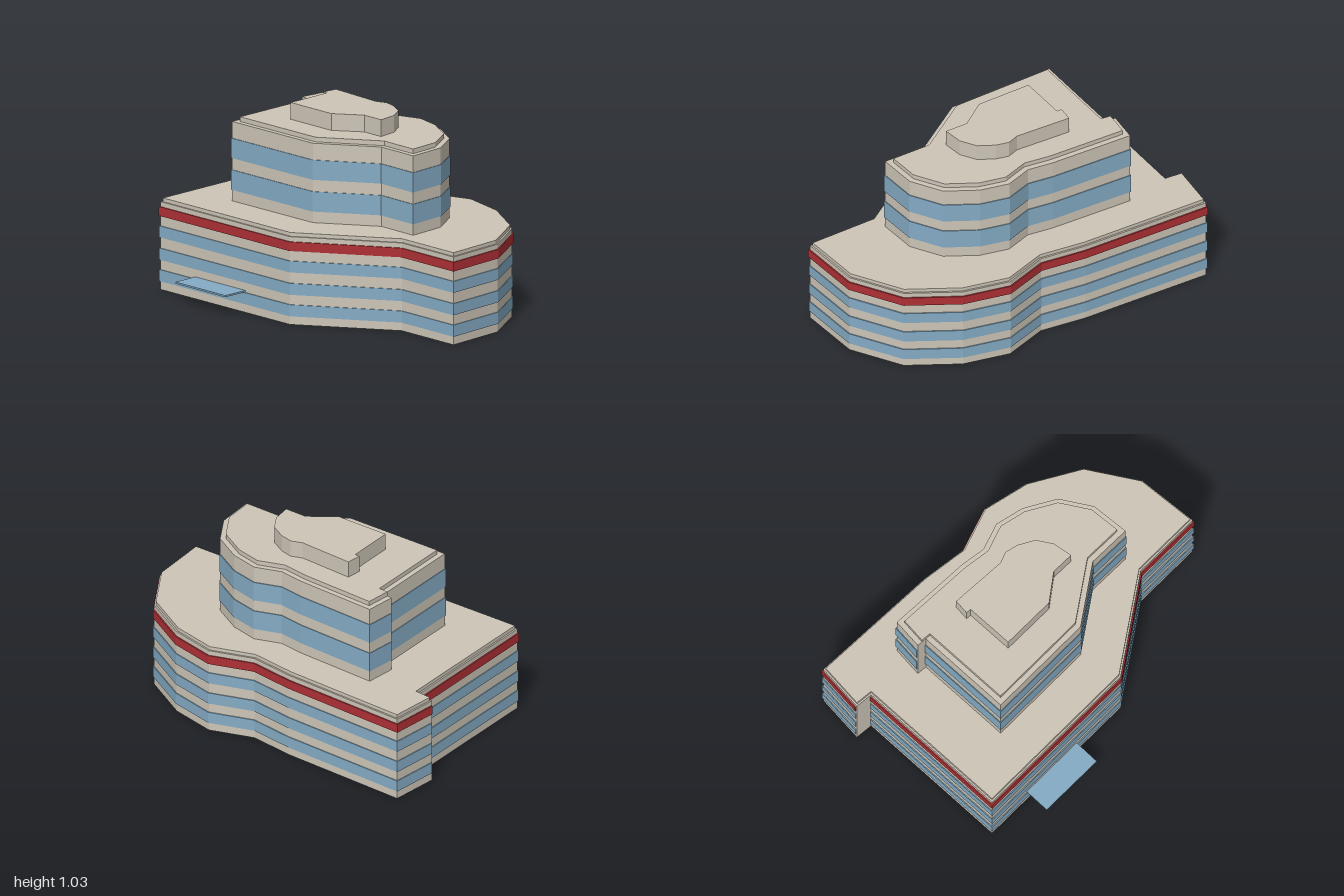
import * as THREE from 'three';

// Footprints as [x, z]; the second-last edge is the front of the rear corner notch
const podiumPlan = [
  [-1, -0.56], [-0.27, -0.6], [-0.02, -0.59], [0.21, -0.69], [0.47, -0.655], [0.75, -0.525],
  [0.94, -0.275], [0.998, 0.068], [0.61, 0.105], [0.153, 0.48], [-0.81, 0.575], [-0.902, -0.28], [-1, -0.28],
];
const towerPlan = [
  [-0.645, -0.385], [-0.18, -0.407], [-0.04, -0.4], [0.1, -0.462], [0.26, -0.44], [0.435, -0.36],
  [0.552, -0.205], [0.588, 0.008], [0.347, 0.027], [0.067, 0.258], [-0.532, 0.318], [-0.59, -0.21], [-0.645, -0.21],
];
const penthousePlan = [
  [-0.36, -0.238], [-0.05, -0.25], [0.01, -0.278], [0.08, -0.268], [0.17, -0.228], [0.23, -0.15],
  [0.255, -0.045], [0.13, -0.035], [0, 0.08], [-0.302, 0.108], [-0.332, -0.155], [-0.36, -0.155],
];
const canopyPlan = [[-0.548, 0.53], [-0.177, 0.495], [-0.163, 0.65], [-0.533, 0.685]];

// Moves every edge outward by d, the notch edge by its own distance
function offsetPlan(plan, d, notch = d) {
  const n = plan.length;
  const lines = plan.map(([x, z], i) => {
    const [x2, z2] = plan[(i + 1) % n];
    const len = Math.hypot(x2 - x, z2 - z);
    const a = (z2 - z) / len, b = -(x2 - x) / len;
    return { a, b, c: a * x + b * z + (i === n - 2 ? notch : d) };
  });
  return lines.map((q, i) => {
    const p = lines[(i + n - 1) % n];
    const det = p.a * q.b - q.a * p.b;
    return [(p.c * q.b - q.c * p.b) / det, (p.a * q.c - q.a * p.c) / det];
  });
}

export function createModel() {
  const model = new THREE.Group();
  const material = (name, color) => {
    const m = new THREE.MeshStandardMaterial({ color });
    m.name = name;
    return m;
  };
  const stone = material('beige stone', 0xcdc5b7);
  const glass = material('blue glass', 0x84abc4);
  const red = material('red trim', 0xae3035);

  // Upright prism over a footprint
  const prism = (name, plan, y0, y1, mat, parent = model) => {
    const shape = new THREE.Shape(plan.map(([x, z]) => new THREE.Vector2(x, -z)));
    const geo = new THREE.ExtrudeGeometry(shape, { depth: y1 - y0, bevelEnabled: false });
    geo.rotateX(-Math.PI / 2).translate(0, y0, 0);
    const mesh = new THREE.Mesh(geo, mat);
    mesh.name = name;
    parent.add(mesh);
  };
  const section = (name) => {
    const g = new THREE.Group();
    g.name = name;
    model.add(g);
    return g;
  };

  // Wide lower floors with window bands, red trim and a stepped roof edge
  const podium = section('podium');
  prism('podiumWalls', offsetPlan(podiumPlan, -0.007), 0, 0.47, stone, podium);
  prism('podiumRoof', offsetPlan(podiumPlan, -0.016), 0.47, 0.49, stone, podium);
  [[0.045, 0.107], [0.16, 0.222], [0.28, 0.341]].forEach(([a, b], i) =>
    prism(`podiumWindows${i + 1}`, offsetPlan(podiumPlan, -0.002, -0.012), a, b, glass, podium));
  prism('redTrim', offsetPlan(podiumPlan, 0, -0.012), 0.395, 0.444, red, podium);

  // Upper floors set back from the podium
  const tower = section('tower');
  prism('towerWalls', offsetPlan(towerPlan, -0.004), 0.49, 0.915, stone, tower);
  prism('towerRoof', offsetPlan(towerPlan, -0.033, -0.005), 0.915, 0.94, stone, tower);
  [[0.55, 0.657], [0.72, 0.826]].forEach(([a, b], i) =>
    prism(`towerWindows${i + 1}`, offsetPlan(towerPlan, 0, -0.01), a, b, glass, tower));

  // Rooftop block and entrance canopy
  prism('penthouse', penthousePlan, 0.94, 1.03, stone);
  prism('entranceCanopy', canopyPlan, 0.109, 0.118, glass);

  return model;
}
